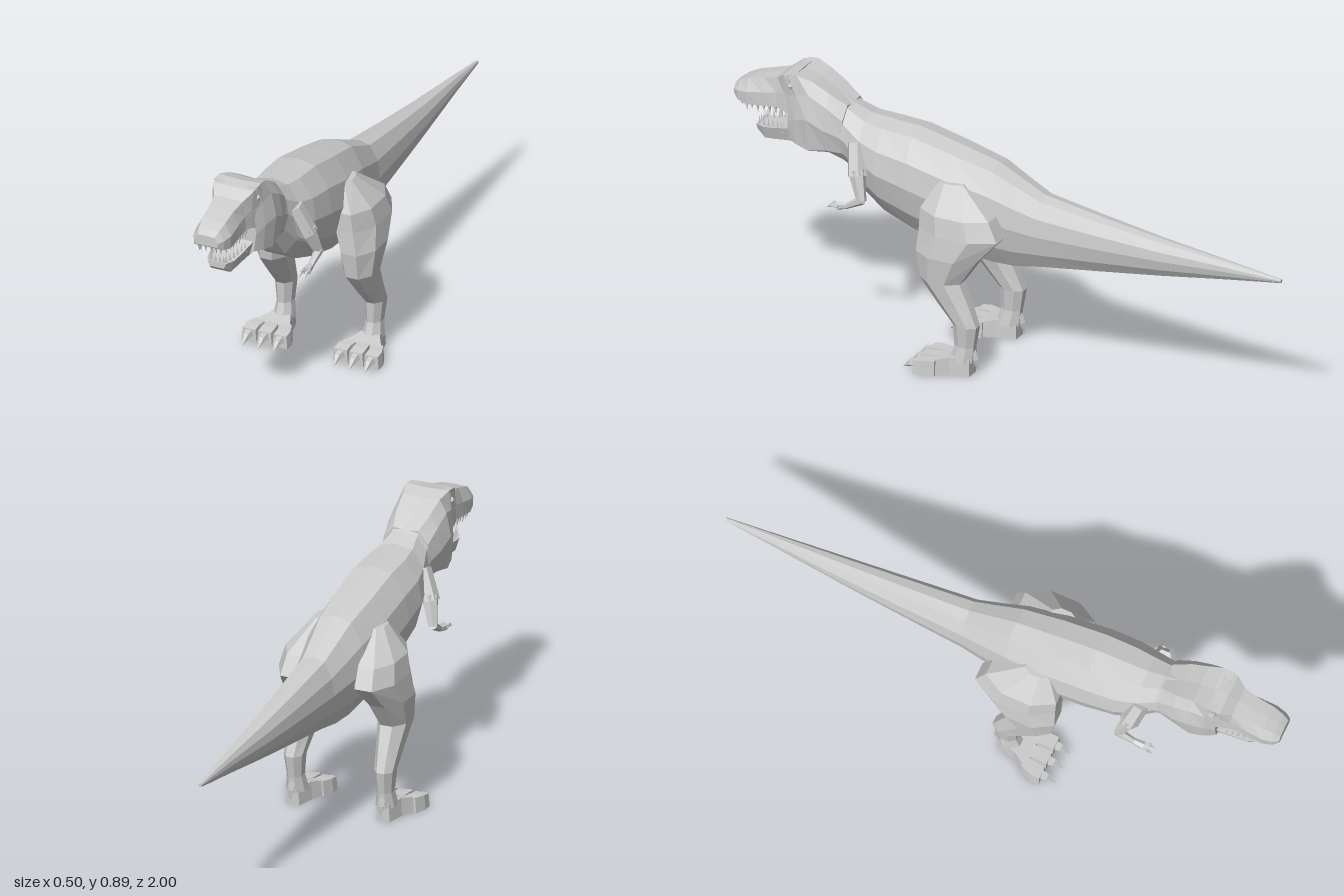
import * as THREE from 'three';

const material = new THREE.MeshStandardMaterial({ color: 0xcccccc, flatShading: true });
const V = (x, y, z) => new THREE.Vector3(x, y, z);

function addMesh(parent, name, geometry) {
  const mesh = new THREE.Mesh(geometry, material);
  mesh.name = name;
  parent.add(mesh);
  return mesh;
}

// Skin a list of equal-length rings with flat facets and close both ends.
// side = -1 mirrors the shape across x.
function loft(rings, side = 1) {
  const out = [];
  const tri = (a, b, c) => {
    for (const p of side > 0 ? [a, b, c] : [a, c, b]) out.push(p.x * side, p.y, p.z);
  };
  const centre = (ring) => ring.reduce((s, p) => s.add(p), V(0, 0, 0)).divideScalar(ring.length);
  const n = rings[0].length;
  const last = rings[rings.length - 1];
  const c0 = centre(rings[0]), c1 = centre(last);
  for (let j = 0; j < n; j++) {
    const k = (j + 1) % n;
    for (let i = 0; i < rings.length - 1; i++) {
      const a = rings[i], b = rings[i + 1];
      tri(a[j], a[k], b[k]);
      tri(a[j], b[k], b[j]);
    }
    tri(c0, rings[0][k], rings[0][j]);
    tri(c1, last[j], last[k]);
  }
  const geometry = new THREE.BufferGeometry();
  geometry.setAttribute('position', new THREE.Float32BufferAttribute(out, 3));
  geometry.computeVertexNormals();
  return geometry;
}

// Close a right-hand outline [x, y] (bottom to top) into a symmetric ring at z.
function symmetricRing(half, z) {
  const right = half.map(([x, y]) => V(x, y, z));
  const left = half.filter(([x]) => x > 0).reverse().map(([x, y]) => V(-x, y, z));
  return [...right, ...left];
}

// Tapered rod from a to b, optionally mirrored in x.
function rod(parent, name, a, b, r1, r2, sides = 6, side = 1) {
  const p = V(a[0] * side, a[1], a[2]), q = V(b[0] * side, b[1], b[2]);
  const dir = q.clone().sub(p);
  const geometry = r2 > 0
    ? new THREE.CylinderGeometry(r2, r1, dir.length(), sides)
    : new THREE.ConeGeometry(r1, dir.length(), sides);
  const mesh = addMesh(parent, name, geometry);
  mesh.position.copy(p).add(q).multiplyScalar(0.5);
  mesh.quaternion.setFromUnitVectors(V(0, 1, 0), dir.normalize());
  return mesh;
}

// Tail, trunk and neck: [z, top, bottom, half width]
function buildBody(parent) {
  const outline = [[0.42, 0], [0.82, 0.22], [1, 0.5], [0.9, 0.75], [0.52, 0.96], [0, 1]];
  const stations = [
    [-1, 0.508, 0.496, 0.006], [-0.8, 0.531, 0.468, 0.022], [-0.56, 0.557, 0.432, 0.043],
    [-0.34, 0.587, 0.402, 0.06], [-0.13, 0.62, 0.374, 0.075], [-0.04, 0.663, 0.36, 0.092],
    [0.04, 0.702, 0.36, 0.108], [0.18, 0.735, 0.378, 0.124], [0.33, 0.767, 0.42, 0.128],
    [0.44, 0.772, 0.462, 0.124], [0.51, 0.776, 0.51, 0.108], [0.57, 0.797, 0.585, 0.088],
    [0.64, 0.835, 0.63, 0.088],
  ];
  addMesh(parent, 'body', loft(stations.map(([z, top, bottom, w]) =>
    symmetricRing(outline.map(([x, t]) => [x * w, bottom + t * (top - bottom)]), z))));
}

function buildHead(parent) {
  const head = new THREE.Group();
  head.name = 'head';
  parent.add(head);

  // Cheeks: [z, bottom, bottom width, jaw y, jaw width, mid y, mid width, upper y, upper width, top, top width]
  const cheeks = [
    [0.58, 0.6, 0.04, 0.64, 0.07, 0.7, 0.086, 0.76, 0.08, 0.803, 0.045],
    [0.64, 0.625, 0.05, 0.645, 0.085, 0.72, 0.1, 0.8, 0.088, 0.84, 0.06],
    [0.7, 0.637, 0.055, 0.635, 0.094, 0.75, 0.107, 0.83, 0.09, 0.872, 0.066],
    [0.75, 0.636, 0.055, 0.645, 0.085, 0.735, 0.092, 0.82, 0.085, 0.887, 0.077],
    [0.785, 0.635, 0.05, 0.65, 0.068, 0.71, 0.075, 0.82, 0.07, 0.884, 0.077],
  ];
  addMesh(head, 'cheeks', loft(cheeks.map(([z, b, bw, jy, jw, my, mw, uy, uw, t, tw]) =>
    symmetricRing([[bw, b], [jw, jy], [mw, my], [uw, uy], [tw, t], [0, t - 0.004]], z))));

  // Snout: [z, bottom, bottom width, mid y, mid width, top, top width]
  const snout = [
    [0.76, 0.725, 0.078, 0.81, 0.08, 0.885, 0.076], [0.8, 0.745, 0.07, 0.81, 0.068, 0.878, 0.074],
    [0.835, 0.75, 0.062, 0.8, 0.06, 0.852, 0.052], [0.89, 0.742, 0.062, 0.79, 0.062, 0.838, 0.044],
    [0.945, 0.735, 0.062, 0.78, 0.064, 0.822, 0.042], [0.98, 0.742, 0.054, 0.775, 0.056, 0.805, 0.036],
    [1, 0.755, 0.04, 0.772, 0.044, 0.79, 0.03],
  ];
  addMesh(head, 'snout', loft(snout.map(([z, b, bw, my, mw, t, tw]) =>
    symmetricRing([[bw, b], [mw, my], [tw, t], [0, t + 0.002]], z))));

  // Lower jaw: [z, bottom, bottom width, top, top width]
  const jaw = [
    [0.76, 0.636, 0.055, 0.695, 0.07], [0.8, 0.632, 0.048, 0.68, 0.062],
    [0.85, 0.622, 0.04, 0.667, 0.054], [0.89, 0.616, 0.034, 0.66, 0.048], [0.922, 0.64, 0.026, 0.66, 0.034],
  ];
  addMesh(head, 'lowerJaw', loft(jaw.map(([z, b, bw, t, tw]) =>
    symmetricRing([[bw, b], [tw, t]], z))));

  // Teeth follow the edges of both jaws
  for (const s of [1, -1]) {
    for (let i = 0; i < 8; i++) {
      const z = 0.82 + i * 0.022;
      const x = z > 0.95 ? 0.05 - (z - 0.95) * 0.4 : 0.054;
      const len = i % 2 ? 0.026 : 0.034;
      rod(head, 'upperTooth', [x, 0.75, z], [x - 0.002, 0.742 - len, z - 0.004], 0.007, 0, 4, s);
    }
    for (let i = 0; i < 6; i++) {
      const z = 0.815 + i * 0.019;
      const x = 0.052 - i * 0.0045;
      rod(head, 'lowerTooth', [x, 0.66, z], [x, 0.694 - i * 0.001, z + 0.003], 0.006, 0, 4, s);
    }
    for (const x of [0.01, 0.028]) {
      rod(head, 'upperTooth', [x, 0.758, 0.986], [x, 0.722, 0.98], 0.007, 0, 4, s);
      rod(head, 'lowerTooth', [x * 0.8, 0.655, 0.914], [x * 0.8, 0.686, 0.917], 0.006, 0, 4, s);
    }
    const eye = addMesh(head, 'eye', new THREE.IcosahedronGeometry(0.013, 0));
    eye.position.set(0.073 * s, 0.845, 0.772);
  }
}

function buildLeg(parent, side) {
  const leg = new THREE.Group();
  leg.name = side > 0 ? 'leftLeg' : 'rightLeg';
  parent.add(leg);

  // Thigh to ankle: [y, inner x, outer x, back z, front z], octagonal sections
  const sections = [
    [0.645, 0.07, 0.125, 0.12, 0.205], [0.555, 0.06, 0.196, 0.0, 0.252], [0.49, 0.06, 0.208, -0.035, 0.252],
    [0.41, 0.085, 0.217, 0.035, 0.256], [0.32, 0.105, 0.208, 0.095, 0.243], [0.24, 0.12, 0.2, 0.06, 0.178],
    [0.175, 0.13, 0.196, 0.034, 0.12], [0.1, 0.136, 0.188, 0.046, 0.116], [0.045, 0.127, 0.195, 0.05, 0.135],
  ];
  const rings = sections.map(([y, x0, x1, z0, z1]) => Array.from({ length: 8 }, (_, i) => {
    const a = (i + 0.5) * Math.PI / 4, k = 0.5 / Math.cos(Math.PI / 8);
    return V((x0 + x1) / 2 + (x1 - x0) * k * Math.cos(a), y, (z0 + z1) / 2 + (z1 - z0) * k * Math.sin(a));
  }));
  addMesh(leg, 'thighAndShin', loft(rings, side));

  // Flat block lofted along z: [z, x0, x1, top]
  const block = (name, list) => addMesh(leg, name, loft(list.map(([z, x0, x1, top]) =>
    [V(x0, 0, z), V(x1, 0, z), V(x1 - 0.004, top, z), V(x0 + 0.004, top, z)]), side));
  block('foot', [[0.055, 0.138, 0.188, 0.06], [0.12, 0.122, 0.202, 0.062], [0.175, 0.098, 0.235, 0.05]]);
  for (const t of [-1, 0, 1]) {
    const a = 0.166 + t * 0.045, b = 0.166 + t * 0.056;
    block('toe', [[0.16, a - 0.023, a + 0.023, 0.052], [0.2, b - 0.027, b + 0.027, 0.05], [0.232, b - 0.027, b + 0.027, 0.045]]);
    rod(leg, 'toeClaw', [b, 0.028, 0.225], [b, 0.026, 0.252], 0.018, 0.013, 5, side);
    rod(leg, 'toeClaw', [b, 0.027, 0.248], [b, 0.004, 0.282], 0.014, 0, 5, side);
  }
  rod(leg, 'heelClaw', [0.162, 0.085, 0.055], [0.162, 0.05, 0.043], 0.013, 0.011, 5, side);
  rod(leg, 'heelClaw', [0.162, 0.054, 0.044], [0.162, 0.018, 0.034], 0.012, 0, 5, side);
}

function buildArm(parent, side) {
  const arm = new THREE.Group();
  arm.name = side > 0 ? 'leftArm' : 'rightArm';
  parent.add(arm);
  rod(arm, 'shoulder', [0.085, 0.7, 0.525], [0.125, 0.6, 0.5], 0.03, 0.034, 6, side);
  rod(arm, 'upperArm', [0.122, 0.62, 0.503], [0.149, 0.525, 0.472], 0.03, 0.016, 6, side);
  rod(arm, 'forearm', [0.15, 0.532, 0.468], [0.147, 0.495, 0.53], 0.016, 0.01, 6, side);
  rod(arm, 'hand', [0.147, 0.497, 0.525], [0.147, 0.491, 0.562], 0.011, 0.015, 6, side);
  for (const f of [-1, 1]) {
    const x = 0.147 + f * 0.01;
    rod(arm, 'finger', [x, 0.493, 0.555], [x, 0.494, 0.58], 0.007, 0.006, 5, side);
    rod(arm, 'fingerClaw', [x, 0.494, 0.578], [x, 0.48, 0.598], 0.007, 0, 5, side);
  }
}

export function createModel() {
  const model = new THREE.Group();
  model.name = 'dinosaur';
  buildBody(model);
  buildHead(model);
  for (const side of [1, -1]) {
    buildLeg(model, side);
    buildArm(model, side);
  }
  return model;
}
